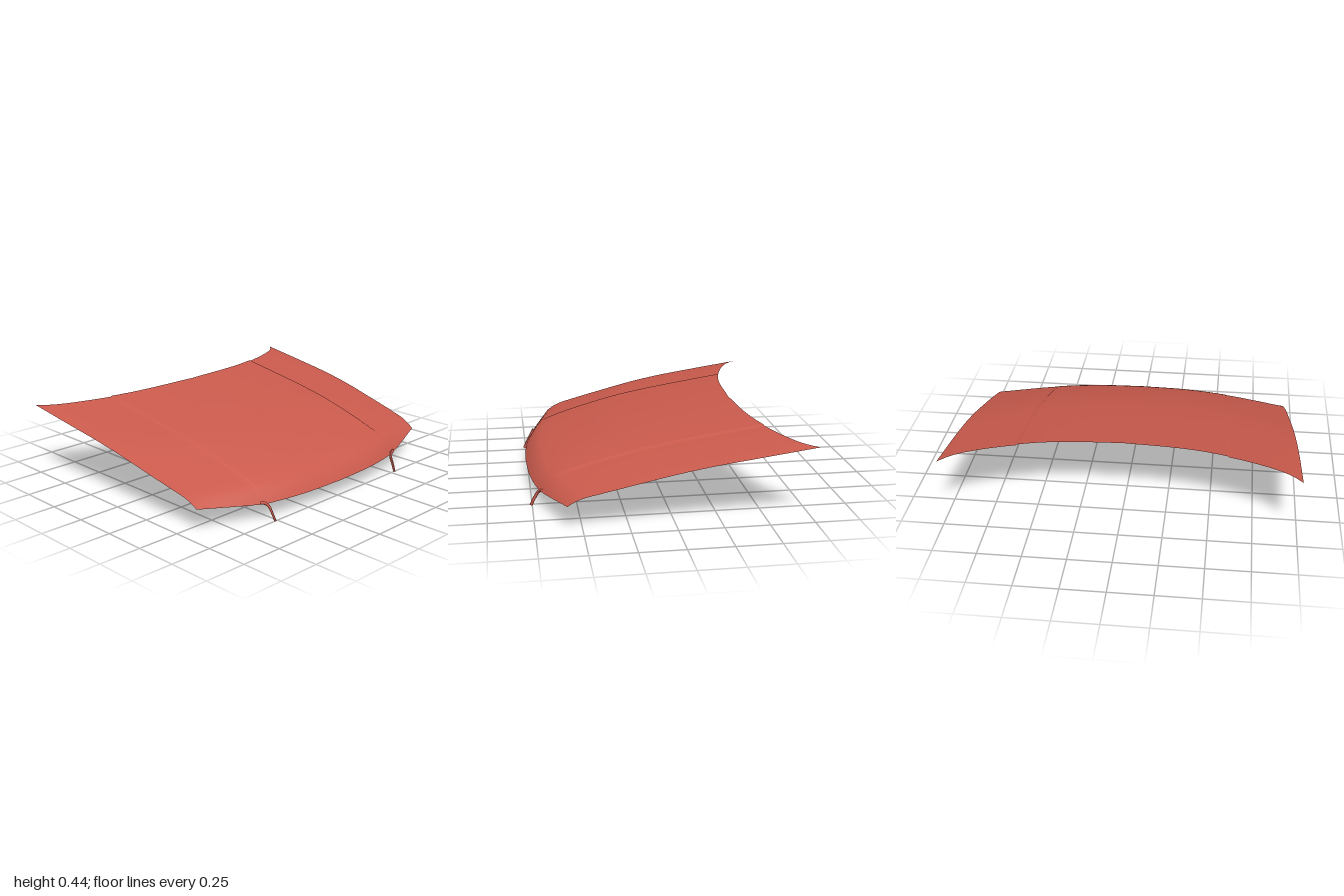
import * as THREE from 'three';

const red = new THREE.MeshStandardMaterial({ color: 0xcb5b4d, side: THREE.DoubleSide });

// Smooth function through [position, value] pairs
function curve(pairs) {
  const c = new THREE.CubicInterpolant(pairs.map(p => p[0]), pairs.map(p => p[1]), 1, [0]);
  return t => c.evaluate(t)[0];
}

// Edges in plan, over the half-width fraction a (0 centre, 1 side)
const frontZ = curve([[0, 0.765], [0.32, 0.75], [0.6, 0.703], [1, 0.58]]);
const rearZ = curve([[0, -0.485], [0.4, -0.513], [0.6, -0.555], [0.82, -0.63], [0.94, -0.695], [1, -0.755]]);
// Half width and heights, over the length fraction v (0 front, 1 rear)
const halfWidth = curve([[0, 0.93], [0.135, 0.95], [0.32, 0.968], [0.51, 0.983], [0.74, 0.994], [1, 1]]);
const centreY = curve([[0, 0.095], [0.02, 0.132], [0.052, 0.173], [0.092, 0.2], [0.132, 0.22],
  [0.292, 0.283], [0.452, 0.333], [0.612, 0.37], [0.772, 0.402], [1, 0.445]]);
const sideY = curve([[0, 0.14], [0.03, 0.166], [0.06, 0.184], [0.135, 0.211], [0.286, 0.26],
  [0.436, 0.307], [0.586, 0.345], [0.737, 0.375], [1, 0.425]]);

function panelPoint(u, v) {
  const a = Math.abs(u);
  const frontMix = Math.max(0, (a - 0.59) / 0.41);
  const mix = THREE.MathUtils.lerp(frontMix, Math.pow(a, 2.2), THREE.MathUtils.smoothstep(v, 0, 0.2));
  // Small step down outside each crease, fading towards the nose and the side
  const step = a > 0.595 ? 0.005 * (1 - a) / 0.4 * THREE.MathUtils.smoothstep(v, 0, 0.15) : 0;
  return [
    u * halfWidth(v),
    THREE.MathUtils.lerp(centreY(v), sideY(v), mix) - step,
    THREE.MathUtils.lerp(frontZ(a), rearZ(a), v),
  ];
}

// Grid surface from a point function over two lists of parameters
function surface(name, us, vs, point) {
  const positions = [], index = [], n = us.length;
  for (const v of vs) for (const u of us) positions.push(...point(u, v));
  for (let j = 0; j < vs.length - 1; j++) {
    for (let i = 0; i < n - 1; i++) {
      const k = j * n + i;
      index.push(k, k + 1, k + n, k + 1, k + n + 1, k + n);
    }
  }
  const g = new THREE.BufferGeometry();
  g.setAttribute('position', new THREE.Float32BufferAttribute(positions, 3));
  g.setIndex(index);
  g.computeVertexNormals();
  const mesh = new THREE.Mesh(g, red);
  mesh.name = name;
  return mesh;
}

const steps = (n, from, to) => Array.from({ length: n + 1 }, (_, i) => from + (to - from) * i / n);

// Curved, tapering hook below the nose
function hook(side) {
  const path = new THREE.CatmullRomCurve3([
    [0.58, 0.108, 0.695], [0.55, 0.1, 0.705], [0.532, 0.08, 0.718], [0.527, 0.045, 0.738], [0.522, 0.004, 0.757],
  ].map(([x, y, z]) => new THREE.Vector3(side * x, y, z)));
  const segments = 16, sides = 8;
  const g = new THREE.TubeGeometry(path, segments, 0.009, sides, false);
  const p = g.attributes.position, v = new THREE.Vector3();
  for (let i = 0; i < p.count; i++) {
    const t = Math.floor(i / (sides + 1)) / segments;
    const c = path.getPointAt(t);
    v.fromBufferAttribute(p, i).sub(c);
    v.x *= 1 - 0.7 * t;
    v.add(c);
    p.setXYZ(i, v.x, Math.max(0, v.y), v.z);
  }
  g.computeVertexNormals();
  const mesh = new THREE.Mesh(g, red);
  mesh.name = side > 0 ? 'leftHook' : 'rightHook';
  return mesh;
}

export function createModel() {
  const group = new THREE.Group();
  group.name = 'hood';

  // Main panel: columns packed at the creases, rows packed at the nose
  const half = [...steps(12, 0, 0.575), 0.59, 0.6, 0.615, ...steps(9, 0.65, 1)];
  const columns = [...half.slice(1).reverse().map(u => -u), ...half];
  const rows = steps(44, 0, 1).map(t => Math.pow(t, 1.7));
  group.add(surface('hoodPanel', columns, rows, panelPoint));

  // Flat lip under the nose, from the curved front edge back to a straight line
  group.add(surface('noseLip', steps(28, -0.59, 0.59), [1, 0], (u, v) => {
    const [x, y, z] = panelPoint(u, 0);
    return [x, y, THREE.MathUtils.lerp(z, 0.705, v)];
  }));

  group.add(hook(1), hook(-1));
  return group;
}
